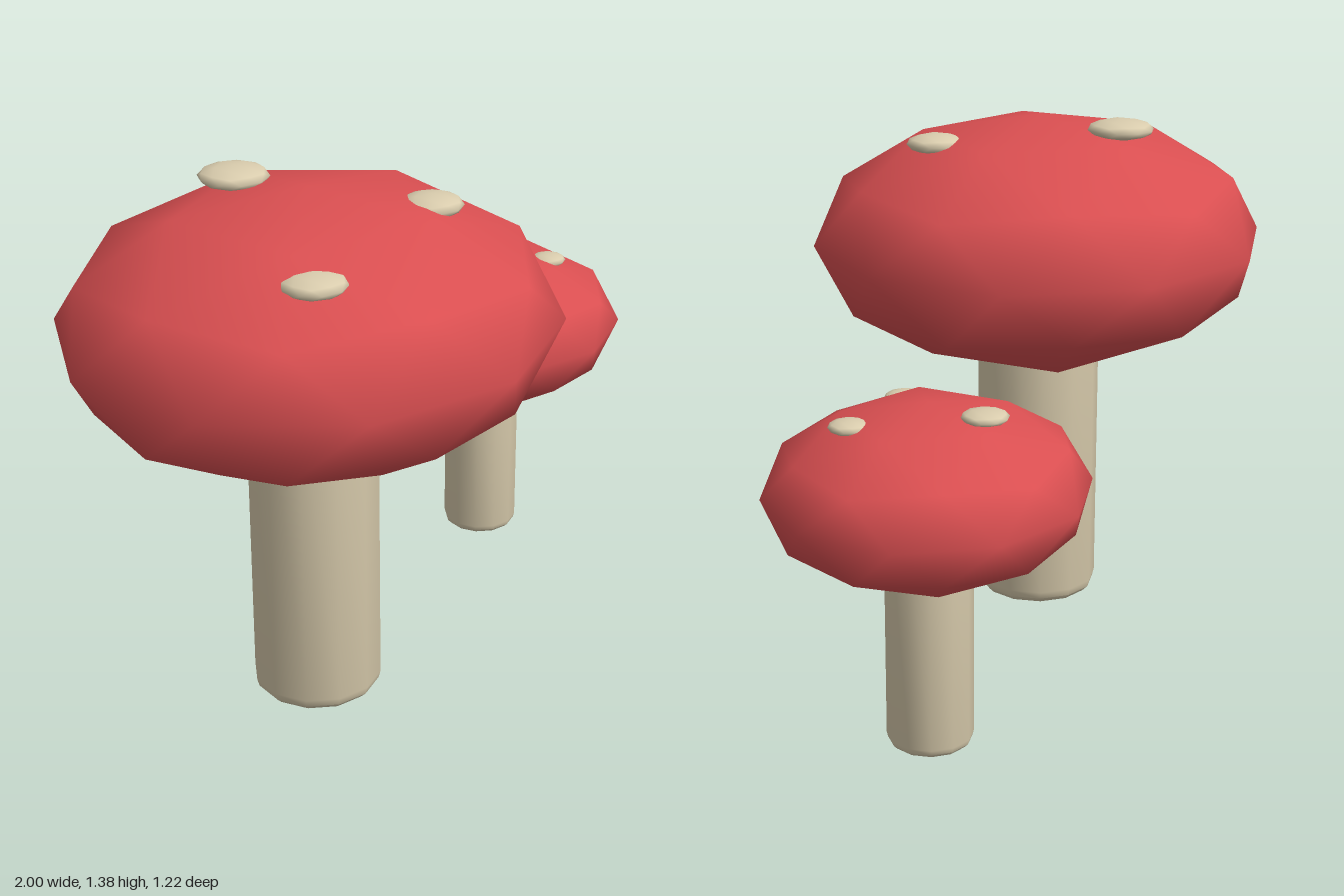
import * as THREE from 'three';
import { toCreasedNormals } from 'three/addons/utils/BufferGeometryUtils.js';

const red = new THREE.MeshStandardMaterial({ color: 0xda4f51 });
red.name = 'capRed';
const cream = new THREE.MeshStandardMaterial({ color: 0xd9ccad });
cream.name = 'stemCream';

// Low-poly ball with a corner at each pole, stretched to the given radii
function ellipsoid(rx, ry, rz) {
  const geometry = new THREE.IcosahedronGeometry(1, 1);
  geometry.rotateZ(-Math.atan(2 / (1 + Math.sqrt(5))));
  geometry.scale(rx, ry, rz);
  return geometry;
}

function part(name, geometry, material, x = 0, y = 0, z = 0) {
  const mesh = new THREE.Mesh(geometry, material);
  mesh.name = name;
  mesh.position.set(x, y, z);
  return mesh;
}

// Straight stem with a rounded foot; its top is inside the cap
function stemGeometry() {
  const r = 0.168, bevel = 0.04, top = 0.95;
  const profile = [new THREE.Vector2(0, 0)];
  for (let i = 0; i <= 3; i++) {
    const a = (i / 3) * Math.PI / 2;
    profile.push(new THREE.Vector2(r - bevel + bevel * Math.sin(a), bevel * (1 - Math.cos(a))));
  }
  profile.push(new THREE.Vector2(r, top), new THREE.Vector2(0, top));
  return toCreasedNormals(new THREE.LatheGeometry(profile, 12), 0.6);
}

// Spots: x, y, z, radius
const spots = [
  [0, 1.353, -0.235, 0.09],
  [0.218, 1.313, 0.205, 0.079],
  [-0.277, 1.274, 0.25, 0.082],
];

function mushroom(name, x, z, scale) {
  const group = new THREE.Group();
  group.name = name;
  group.add(part('stem', stemGeometry(), cream));
  group.add(part('cap', ellipsoid(0.649, 0.34, 0.61), red, 0, 1.035, 0));
  spots.forEach(([sx, sy, sz, r], i) => {
    group.add(part('spot' + (i + 1), ellipsoid(r, 0.027, r), cream, sx, sy, sz));
  });
  group.position.set(x, 0, z);
  group.scale.setScalar(scale);
  return group;
}

export function createModel() {
  const model = new THREE.Group();
  model.name = 'mushrooms';
  model.add(mushroom('largeMushroom', -0.383, 0, 1));
  model.add(mushroom('smallMushroom', 0.607, -0.186, 0.636));
  return model;
}
